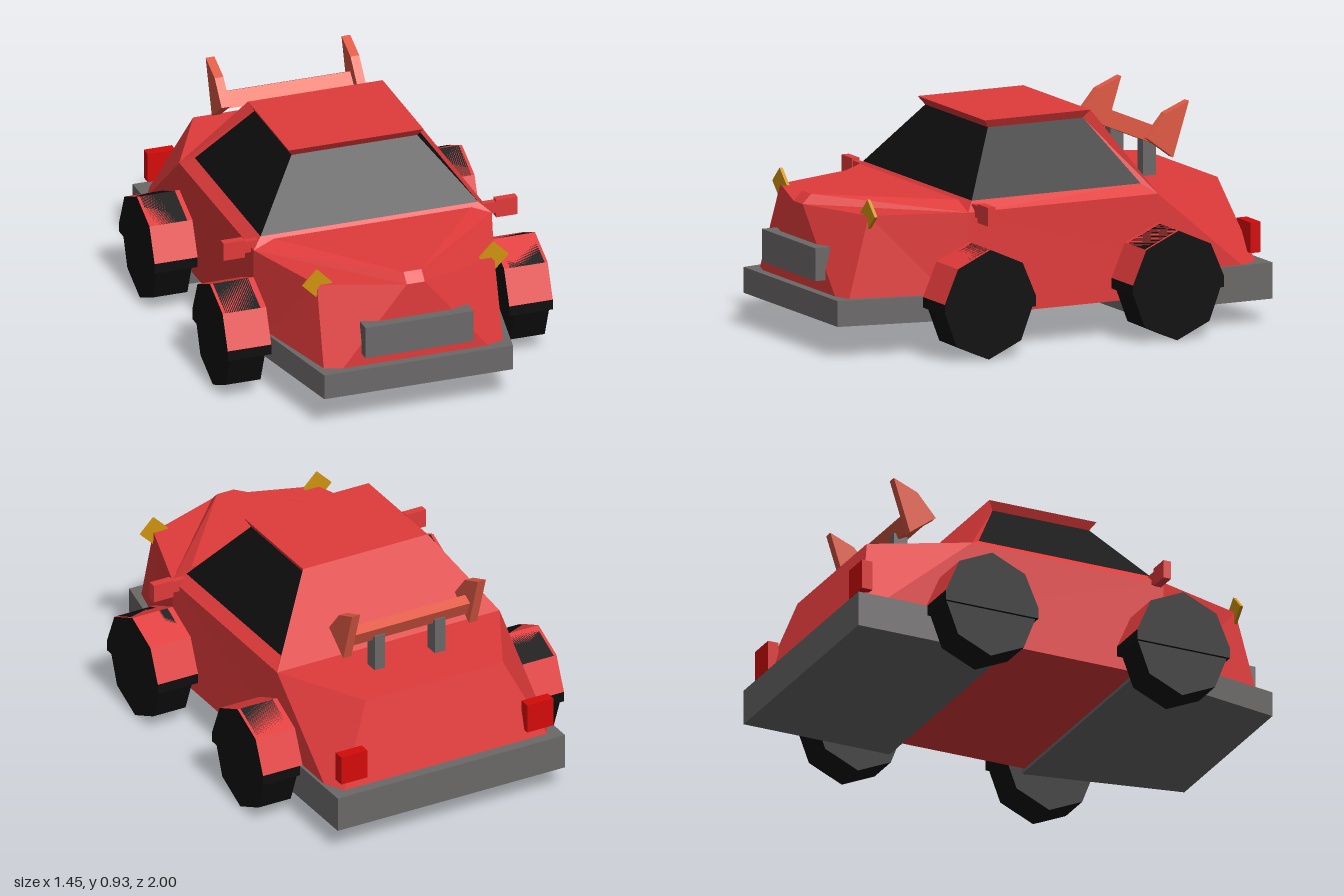
import * as THREE from 'three';

const mat = (name, color) => {
  const m = new THREE.MeshStandardMaterial({ color });
  m.name = name;
  return m;
};

// Flat faces from convex polygons, each turned away from an inner point.
// Polygons in `half` are also mirrored across x = 0.
function faceted(half, whole, inner) {
  const c = new THREE.Vector3(...inner), pos = [];
  const mirrored = half.map(p => p.map(([x, y, z]) => [-x, y, z]));
  for (const poly of [...half, ...mirrored, ...whole]) {
    for (let i = 1; i < poly.length - 1; i++) {
      const t = [poly[0], poly[i], poly[i + 1]].map(p => new THREE.Vector3(...p));
      const n = t[1].clone().sub(t[0]).cross(t[2].clone().sub(t[0]));
      const mid = t[0].clone().add(t[1]).add(t[2]).divideScalar(3).sub(c);
      if (n.dot(mid) < 0) t.reverse();
      t.forEach(v => pos.push(v.x, v.y, v.z));
    }
  }
  const g = new THREE.BufferGeometry();
  g.setAttribute('position', new THREE.Float32BufferAttribute(pos, 3));
  g.computeVertexNormals();
  return g;
}

const extrude = (pts, depth) => new THREE.ExtrudeGeometry(
  new THREE.Shape(pts.map(p => new THREE.Vector2(...p))), { depth, bevelEnabled: false });

// Side profile of [z, y] points, running from x0 to x1
const sideExtrude = (pts, x0, x1) =>
  extrude(pts, x1 - x0).rotateY(-Math.PI / 2).translate(x1, 0, 0);

// Box given by its limits
const box = (x0, x1, y0, y1, z0, z1) => new THREE.BoxGeometry(x1 - x0, y1 - y0, z1 - z0)
  .translate((x0 + x1) / 2, (y0 + y1) / 2, (z0 + z1) / 2);

// Line across x at a given half width
const bar = (x, y, z) => [[-x, y, z], [x, y, z]];
const strip = (a, b) => [...bar(...a), ...bar(...b).reverse()];

export function createModel() {
  const car = new THREE.Group();
  car.name = 'car';
  const red = mat('bodyRed', 0xe03a3a);
  const coral = mat('spoilerCoral', 0xe05a45);
  const black = mat('black', 0x0e0e0e);
  const grey = mat('trimGrey', 0x6b6868);
  const gold = mat('headlightGold', 0xcf930f);
  const lampRed = mat('tailLightRed', 0xd50a0a);
  const add = (name, geo, material) => {
    const m = new THREE.Mesh(geo, material);
    m.name = name;
    car.add(m);
  };

  // Lower body: sides, nose, rear deck and floor
  const tailLow = [0.535, 0.16, -0.98], tailTop = [0.33, 0.6, -0.855];
  const deck = [0.535, 0.6, -0.465], cowl = [0.53, 0.6, 0.43], cowlLow = [0.53, 0.16, 0.43];
  const noseTop = [0.395, 0.6, 0.83], noseLow = [0.4, 0.16, 0.95], tip = [0.04, 0.6, 0.955];
  add('body', faceted([
    [tailLow, deck, cowl, cowlLow],
    [tailLow, tailTop, deck],
    [cowlLow, cowl, noseTop, noseLow],
    [noseTop, noseLow, tip],
    [cowl, noseTop, tip],
  ], [
    strip(noseLow, tip),
    strip(deck, tailTop),
    strip(tailTop, tailLow),
    strip(tailLow, cowlLow),
    strip(cowlLow, noseLow),
  ], [0, 0.4, 0]), red);

  // Raised hood
  const hoodBack = [0.44, 0.64, 0.43], hoodTip = [0.04, 0.64, 0.915];
  add('hood', faceted(
    [[cowl, tip, hoodTip, hoodBack]],
    [strip(hoodBack, hoodTip), strip(hoodTip, tip), strip(cowl, hoodBack)],
    [0, 0.4, 0.6]), red);

  // Cabin: roof, sloped rear and inset window rims
  const roofF = [0.3, 0.935, 0.23], roofR = [0.3, 0.935, -0.27];
  const topF = [0.28, 0.9, 0.205], topR = [0.28, 0.9, -0.245];
  const lowF = [0.485, 0.64, 0.39], lowR = [0.485, 0.64, -0.41];
  add('cabin', faceted([
    [cowl, deck, lowR, lowF],
    [topF, topR, roofR, roofF],
    [deck, lowR, topR, roofR],
  ], [
    strip(roofF, roofR),
    strip(roofR, deck),
    strip(cowl, lowF),
    strip(topF, roofF),
  ], [0, 0.8, 0]), red);
  add('windows', faceted([[lowF, lowR, topR, topF]], [strip(lowF, topF)], [0, 0.78, 0]), black);

  // Bumpers and number plate
  add('frontBumper', extrude(
    [[-0.42, -0.99], [0.42, -0.99], [0.555, -0.3], [-0.555, -0.3]], 0.11)
    .rotateX(-Math.PI / 2).translate(0, 0.145, 0), grey);
  add('rearBumper', box(-0.547, 0.547, 0.105, 0.26, -1, -0.32), grey);
  add('frontPlate', box(-0.24, 0.24, 0.31, 0.45, 0.93, 1), grey);

  // Eight-sided wheels with flush fenders
  const R = 0.235, W = 0.216, CY = 0.24;
  for (const z of [0.428, -0.463]) {
    const ring = Array.from({ length: 8 }, (_, i) => {
      const a = i * Math.PI / 4;
      return [z + W * Math.cos(a), CY + R * Math.sin(a)];
    });
    const arch = [[z + W, 0.26], ...ring.slice(1, 4), [z - W, 0.26]];
    for (const s of [1, -1]) {
      const span = (a, b) => (s > 0 ? [a, b] : [-b, -a]);
      add('wheel', sideExtrude(ring, ...span(0.555, 0.711)), black);
      add('fender', sideExtrude(arch, ...span(0.53, 0.724)), [black, red]);
      add('fenderTrim', box(...span(0.53, 0.724), 0.215, 0.26, z - W, z + W), black);
    }
  }

  // Paired fittings
  const endPlate = [[-0.725, 0.935], [-0.615, 0.89], [-0.53, 0.79], [-0.65, 0.7]];
  for (const s of [1, -1]) {
    const span = (a, b) => (s > 0 ? [a, b] : [-b, -a]);
    add('mirror', box(...span(0.56, 0.655), 0.56, 0.64, 0.368, 0.403), red);
    add('mirrorArm', box(...span(0.5, 0.56), 0.578, 0.63, 0.372, 0.398), red);
    add('headlight', new THREE.BoxGeometry(0.092, 0.092, 0.014)
      .rotateZ(Math.PI / 4).translate(s * 0.393, 0.604, 0.828), gold);
    add('tailLight', box(...span(0.385, 0.51), 0.3, 0.43, -0.965, -0.917), lampRed);
    add('spoilerPost', box(...span(0.12, 0.17), 0.58, 0.76, -0.65, -0.588), grey);
    add('spoilerEndPlate', sideExtrude(endPlate, ...span(0.283, 0.322)), coral);
  }

  // Spoiler wing
  add('spoilerWing', sideExtrude(
    [[-0.565, 0.765], [-0.618, 0.82], [-0.66, 0.8], [-0.63, 0.735]], -0.285, 0.285), coral);

  return car;
}
